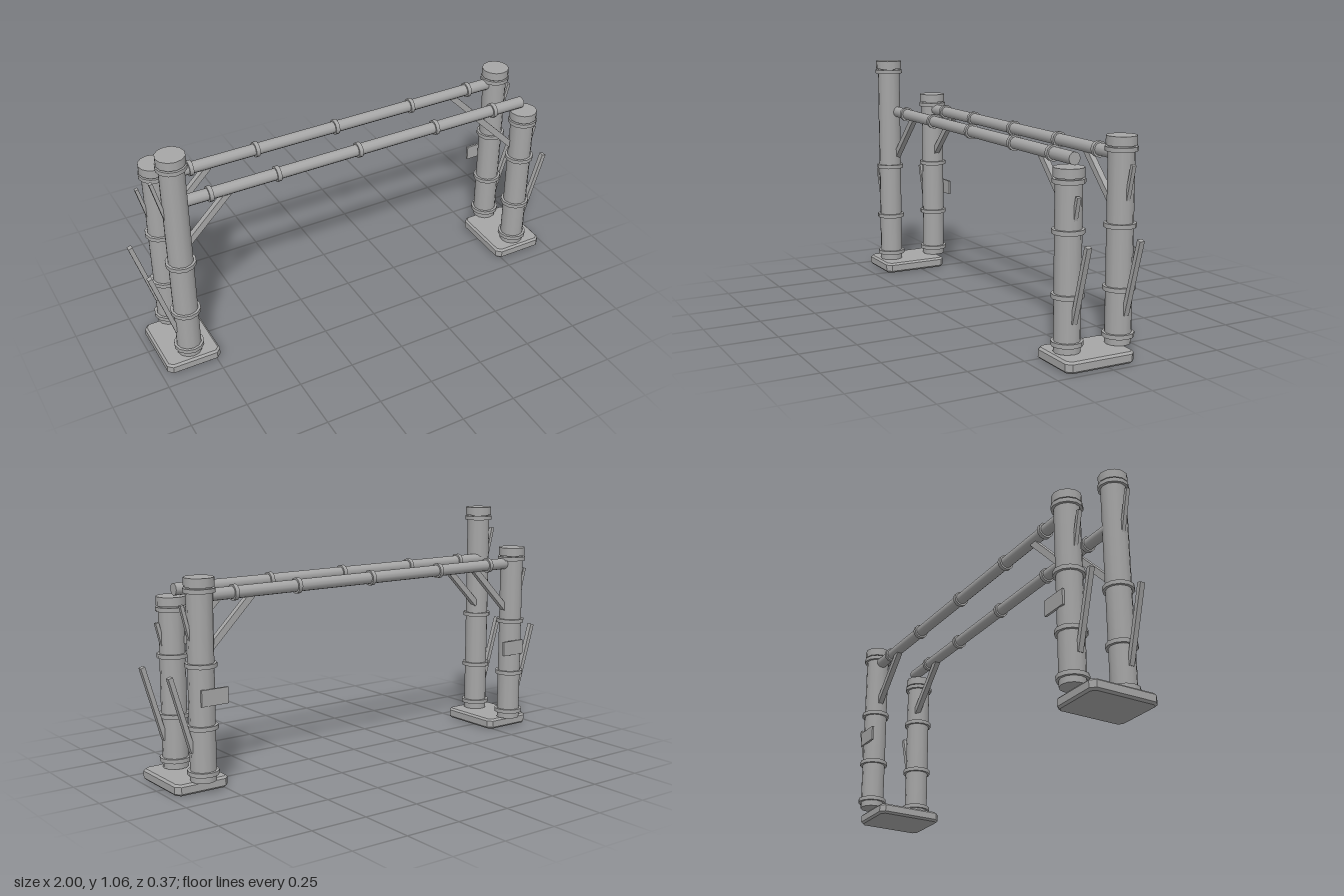
import * as THREE from 'three';

export function createModel() {
  const model = new THREE.Group();
  const metal = new THREE.MeshStandardMaterial({ color: 0xa6a6a6 });
  metal.name = 'plain grey';

  const add = (parent, name, geometry, x, y, z) => {
    const mesh = new THREE.Mesh(geometry, metal);
    mesh.name = name;
    mesh.position.set(x, y, z);
    parent.add(mesh);
    return mesh;
  };
  const drum = (r, h) => new THREE.CylinderGeometry(r, r, h, 12);

  // Flat bar between two points of the x-y plane
  const bar = (parent, name, a, b, z, thick, depth) => {
    const dx = b[0] - a[0], dy = b[1] - a[1];
    const mesh = add(parent, name, new THREE.BoxGeometry(thick, Math.hypot(dx, dy), depth),
      (a[0] + b[0]) / 2, (a[1] + b[1]) / 2, z);
    mesh.rotation.z = -Math.atan2(dx, dy);
  };

  // Foot slab with chamfered corners and edges
  const footGeometry = () => {
    const b = 0.009, w = 0.123 - b, d = 0.157 - b, c = 0.016;
    const shape = new THREE.Shape([
      [-w + c, -d], [w - c, -d], [w, -d + c], [w, d - c],
      [w - c, d], [-w + c, d], [-w, d - c], [-w, -d + c],
    ].map(([x, y]) => new THREE.Vector2(x, y)));
    const g = new THREE.ExtrudeGeometry(shape, {
      depth: 0.048 - 2 * b, bevelThickness: b, bevelSize: b, bevelSegments: 1,
    });
    return g.rotateX(-Math.PI / 2).translate(0, b, 0);
  };

  const X = 0.848, FRONT = 0.117, BACK = -0.121, BEAM_Y = 0.805;

  // Posts: side, z, top height, upper spike from/to heights
  const posts = [
    ['frontRightPost', -1, FRONT, 1.057, 0.765, 0.95],
    ['backRightPost', -1, BACK, 0.881, 0.63, 0.775],
    ['frontLeftPost', 1, FRONT, 0.776, 0.575, 0.67],
    ['backLeftPost', 1, BACK, 0.881, 0.63, 0.775],
  ];
  for (const [name, s, z, top, low, high] of posts) {
    const post = new THREE.Group();
    post.name = name;
    model.add(post);
    add(post, 'shaft', drum(0.054, top - 0.06), s * X, (top + 0.04) / 2, z);
    add(post, 'cap', drum(0.062, 0.038), s * X, top - 0.019, z);
    for (const y of [0.086, 0.276, 0.529, top - 0.052]) {
      add(post, 'collar', drum(0.0655, 0.018), s * X, y, z);
    }
    // Spikes leaning outwards
    bar(post, 'lowerSpike', [s * 0.895, 0.175], [s * 0.989, 0.493], z, 0.02, 0.022);
    bar(post, 'upperSpike', [s * 0.893, low], [s * (0.893 + (high - low) * 0.25), high], z, 0.015, 0.017);
  }

  // Feet and back plates
  for (const s of [-1, 1]) {
    add(model, 'foot', footGeometry(), s * 0.85, 0, 0.031);
    add(model, 'backPlate', new THREE.BoxGeometry(0.122, 0.068, 0.01), s * 0.818, 0.403, -0.174);
  }

  // Crossbeams with rings and diagonal braces
  for (const [name, z] of [['frontBeam', 0.092], ['backBeam', -0.121]]) {
    const beam = new THREE.Group();
    beam.name = name;
    model.add(beam);
    add(beam, 'pipe', drum(0.026, 2 * X), 0, BEAM_Y, z).rotation.z = Math.PI / 2;
    for (const x of [-0.69, -0.385, 0, 0.385, 0.69]) {
      add(beam, 'ring', drum(0.034, 0.018), x, BEAM_Y, z).rotation.z = Math.PI / 2;
    }
    for (const s of [-1, 1]) {
      bar(beam, 'brace', [s * 0.815, 0.583], [s * 0.608, 0.79], z, 0.028, 0.025);
    }
  }
  return model;
}
